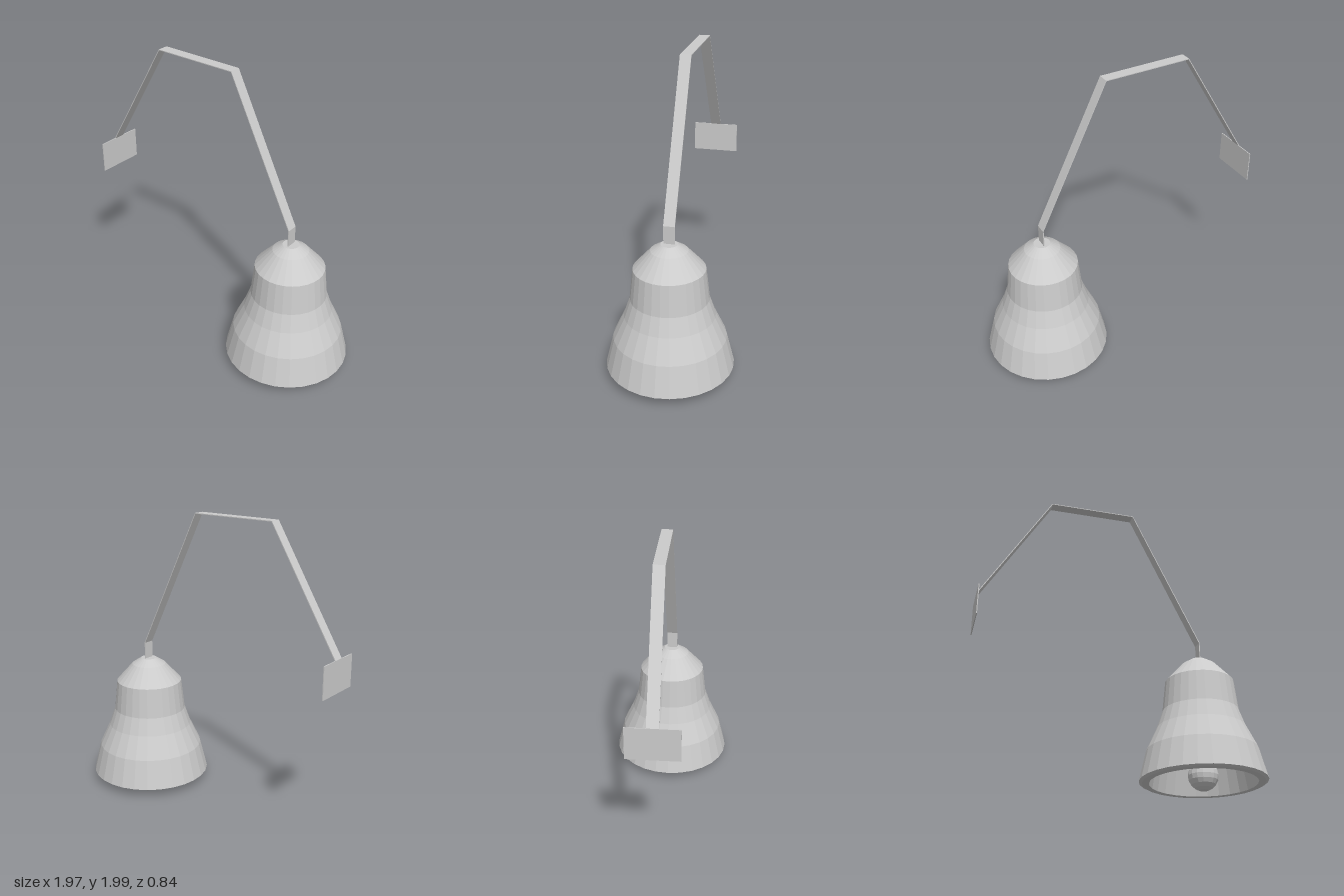
import * as THREE from 'three';

const BELL_X = 0.562;
const material = new THREE.MeshStandardMaterial({ color: 0xcccccc, flatShading: true });
const v2 = (points) => points.map(([x, y]) => new THREE.Vector2(x, y));

function add(parent, name, geometry, x = 0, y = 0, z = 0) {
  const mesh = new THREE.Mesh(geometry, material);
  mesh.name = name;
  mesh.position.set(x, y, z);
  parent.add(mesh);
  return mesh;
}

// Flat strip bent along a path in the xy plane, with mitred corners
function bentStrip(path, width, thickness) {
  const pts = v2(path);
  const offset = (side) => pts.map((p, i) => {
    const a = p.clone().sub(pts[Math.max(i - 1, 0)]).normalize();
    const b = pts[Math.min(i + 1, pts.length - 1)].clone().sub(p).normalize();
    const t = a.add(b).normalize();
    return new THREE.Vector2(p.x - t.y * side, p.y + t.x * side);
  });
  const outline = [...offset(thickness / 2), ...offset(-thickness / 2).reverse()];
  const geometry = new THREE.ExtrudeGeometry(new THREE.Shape(outline), { depth: width, bevelEnabled: false });
  return geometry.translate(0, 0, -width / 2);
}

export function createModel() {
  const model = new THREE.Group();
  model.name = 'wallBell';

  // Wall plate and bent hanger strip
  add(model, 'wallPlate', new THREE.BoxGeometry(0.006, 0.215, 0.33), -0.985, 1.104, 0);
  add(model, 'hangerStrip', bentStrip([
    [-0.985, 1.2], [-0.985, 1.212], [-0.507, 1.997], [0.088, 1.997], [BELL_X, 1.04], [BELL_X, 0.9],
  ], 0.074, 0.006));

  const bell = new THREE.Group();
  bell.name = 'bell';
  bell.position.x = BELL_X;
  model.add(bell);

  // Hollow shell: outer profile from rim to crown, inner one back down
  const profile = [
    [0, 0.84], [0.09, 0.83], [0.18, 0.73], [0.2, 0.54], [0.24, 0.41], [0.315, 0.26], [0.355, 0.057],
    [0.4, 0.057], [0.42, 0.068], [0.37, 0.27], [0.297, 0.425], [0.256, 0.545],
    [0.233, 0.755], [0.12, 0.88], [0.055, 0.922], [0, 0.922],
  ];
  add(bell, 'bellShell', new THREE.LatheGeometry(v2(profile), 28));

  // Clapper
  add(bell, 'clapperRod', new THREE.CylinderGeometry(0.037, 0.037, 0.69, 12), 0, 0.505, 0);
  add(bell, 'clapperBall', new THREE.SphereGeometry(0.1, 16, 10), 0, 0.105, 0);

  return model;
}
